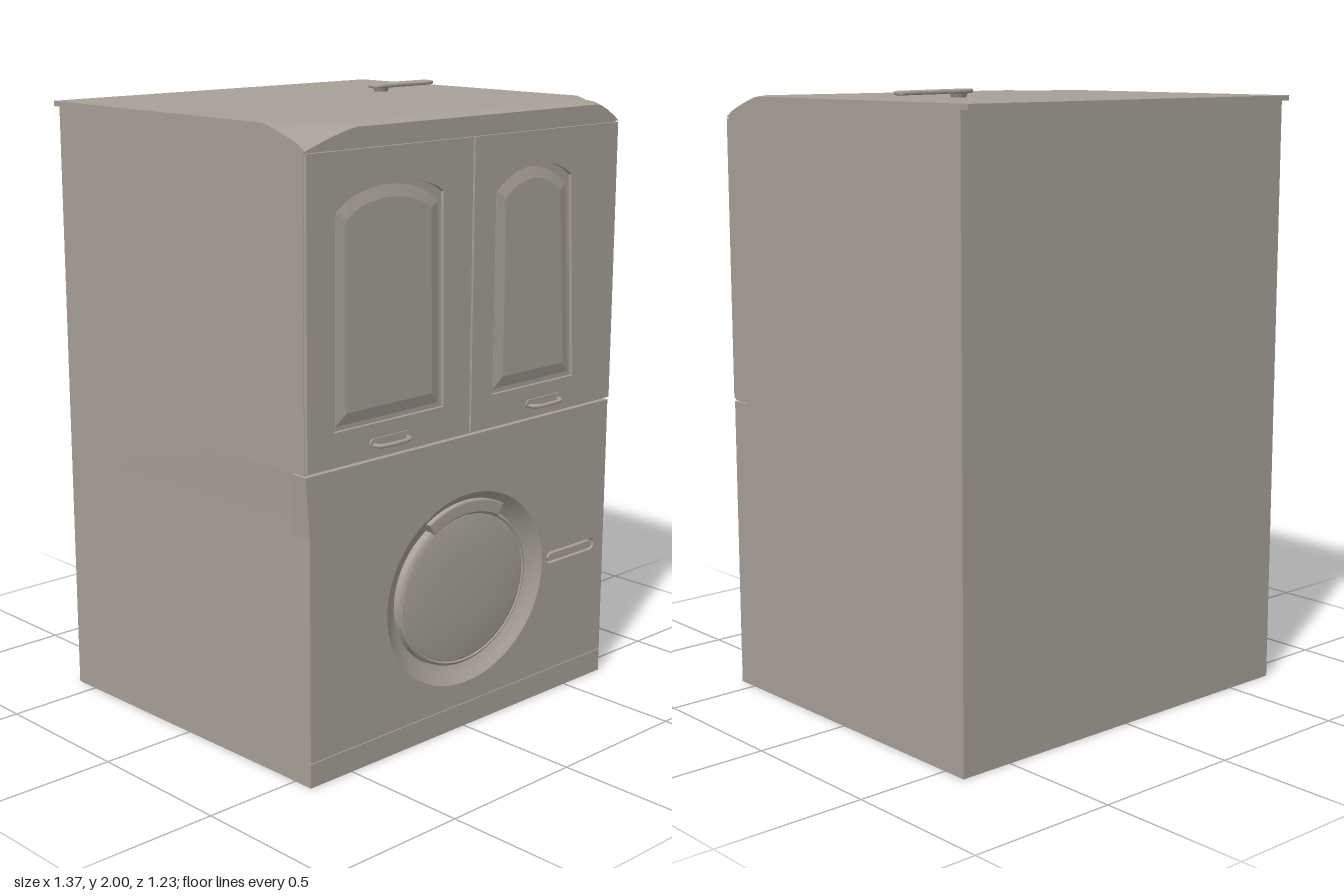
import * as THREE from 'three';
import { toCreasedNormals } from 'three/addons/utils/BufferGeometryUtils.js';

export function createModel() {
  const model = new THREE.Group();
  const enamel = new THREE.MeshStandardMaterial({ color: 0xa8a098 });
  enamel.name = 'warm grey enamel';

  function add(name, geometry, x = 0, y = 0, z = 0, parent = model) {
    const mesh = new THREE.Mesh(geometry, enamel);
    mesh.name = name;
    mesh.position.set(x, y, z);
    parent.add(mesh);
    return mesh;
  }
  // box given by its limits
  function block(name, x0, x1, y0, y1, z0, z1, parent) {
    return add(name, new THREE.BoxGeometry(x1 - x0, y1 - y0, z1 - z0),
      (x0 + x1) / 2, (y0 + y1) / 2, (z0 + z1) / 2, parent);
  }
  const outline = (pts) => new THREE.Shape(pts.map(([x, y]) => new THREE.Vector2(x, y)));
  const slab = (shape, depth) =>
    new THREE.ExtrudeGeometry(shape, { depth, bevelEnabled: false, curveSegments: 64 });
  function pill(x0, x1, y0, y1) {
    const r = (y1 - y0) / 2, y = (y0 + y1) / 2, s = new THREE.Shape();
    s.moveTo(x0 + r, y0);
    s.lineTo(x1 - r, y0);
    s.absarc(x1 - r, y, r, -Math.PI / 2, Math.PI / 2);
    s.lineTo(x0 + r, y1);
    s.absarc(x0 + r, y, r, Math.PI / 2, Math.PI * 1.5);
    return s;
  }

  // lower carcass, pinched slightly at its front left edge
  const lower = new THREE.BoxGeometry(1.37, 0.975, 1.09, 1, 5, 1);
  lower.translate(0, 0.4875, -0.04);
  const lp = lower.attributes.position;
  for (let i = 0; i < lp.count; i++) {
    if (lp.getX(i) < 0 && lp.getZ(i) > 0 && lp.getY(i) < 0.9) lp.setX(i, -0.67);
  }
  add('lowerBody', toCreasedNormals(lower, 0.4));
  block('upperBody', -0.685, 0.685, 0.975, 1.91, -0.585, 0.563);

  // top cap whose front corners slope down
  const cap = new THREE.BoxGeometry(1.37, 0.07, 1.158, 48, 1, 40);
  cap.translate(0, 1.935, -0.006);
  const cp = cap.attributes.position;
  for (let i = 0; i < cp.count; i++) {
    const x = cp.getX(i), z = cp.getZ(i);
    if (cp.getY(i) < 1.95) continue;
    const reach = x < 0 ? 0.2 : 0.1;
    const side = Math.max(0, 1 - (0.685 - Math.abs(x)) / reach);
    const front = Math.max(0, 1 - (0.573 - z) / 0.17);
    const edge = Math.max(0, 1 - (0.573 - z) / 0.06);
    cp.setY(i, 1.97 - 0.055 * Math.pow(side, 1.3) * front - 0.012 * edge * edge);
  }
  add('topCap', toCreasedNormals(cap, 0.6));
  block('rearLip', -0.685, 0.685, 1.953, 1.97, -0.615, -0.58);

  // upper doors with arched raised panels
  function arch(x0, x1, y0, ySide, yTop, lean) {
    const s = new THREE.Shape();
    s.moveTo(x0, y0);
    s.lineTo(x1, y0);
    s.lineTo(x1 - lean, ySide);
    s.bezierCurveTo(x1 - lean - 0.08, yTop, x0 + 0.08, yTop, x0, ySide);
    s.closePath();
    return s;
  }
  function door(name, x0, x1, p0, p1, lean, handleX) {
    const group = new THREE.Group();
    group.name = name;
    model.add(group);
    const frame = outline([[x0, 0.98], [x1, 0.98], [x1, 1.896], [x0, 1.896]]);
    frame.holes.push(arch(p0, p1, 1.085, 1.745, 1.815, lean));
    add('doorFrame', slab(frame, 0.013), 0, 0, 0.562, group);
    const panel = new THREE.ExtrudeGeometry(arch(p0 + 0.05, p1 - 0.05, 1.135, 1.70, 1.765, lean), {
      depth: 0.001, bevelEnabled: true, bevelThickness: 0.009, bevelSize: 0.036,
      bevelSegments: 1, curveSegments: 24,
    });
    add('raisedPanel', panel, 0, 0, 0.5635, group);
    // bow handle on a slim backplate
    add('handlePlate', slab(pill(handleX - 0.085, handleX + 0.085, 1.012, 1.04), 0.006), 0, 0, 0.574, group);
    const bow = new THREE.CatmullRomCurve3([
      [-0.07, 0.575], [-0.066, 0.593], [-0.05, 0.603], [0.05, 0.603], [0.066, 0.593], [0.07, 0.575],
    ].map(([x, z]) => new THREE.Vector3(handleX + x, 1.02, z)));
    add('handleBow', new THREE.TubeGeometry(bow, 32, 0.007, 8), 0, 0, 0, group);
  }
  door('rightDoor', -0.683, -0.004, -0.577, -0.12, 0.012, -0.35);
  door('leftDoor', 0.004, 0.684, 0.1, 0.49, 0.035, 0.345);

  // lower front panel with porthole and slot openings
  const cx = 0.008, cy = 0.465, ratio = 0.875;
  const front = outline([[-0.67, 0.08], [0.685, 0.08], [0.685, 0.97], [-0.685, 0.97], [-0.67, 0.78]]);
  front.holes.push(new THREE.Path().absellipse(cx, cy, 0.36, 0.36 * ratio, 0, Math.PI * 2));
  front.holes.push(pill(0.39, 0.635, 0.455, 0.497));
  add('lowerFront', slab(front, 0.07), 0, 0, 0.5);
  block('plinth', -0.67, 0.685, 0, 0.077, 0.49, 0.57);
  block('plinthSeam', -0.669, 0.684, 0.07, 0.09, 0.49, 0.566);
  add('slotFloor', slab(pill(0.385, 0.64, 0.45, 0.502), 0.055), 0, 0, 0.5);
  add('slotBar', slab(pill(0.4, 0.625, 0.464, 0.488), 0.017), 0, 0, 0.553);

  // sunken porthole surround and domed door
  const profile = [
    [0.36, 0], [0.345, -0.01], [0.31, -0.035], [0.292, -0.04], [0.29, -0.018],
    [0.28, -0.012], [0.275, -0.016], [0.265, -0.014], [0.13, -0.008], [0, -0.007],
  ].map(([r, y]) => new THREE.Vector2(r, y));
  const bowl = new THREE.LatheGeometry(profile, 64);
  bowl.rotateX(Math.PI / 2);
  bowl.scale(1, ratio, 1);
  add('porthole', toCreasedNormals(bowl, 0.7), cx, cy, 0.57);

  // curved grip along the top of the porthole
  const grip = new THREE.Shape();
  grip.absellipse(cx, cy, 0.325, 0.325 * ratio, Math.PI * 0.33, Math.PI * 0.67);
  grip.absellipse(cx, cy, 0.285, 0.285 * ratio, Math.PI * 0.67, Math.PI * 0.33, true);
  add('portholeGrip', new THREE.ExtrudeGeometry(grip, {
    depth: 0.025, bevelEnabled: true, bevelThickness: 0.005, bevelSize: 0.005,
    bevelSegments: 2, curveSegments: 20,
  }), 0, 0, 0.535);

  // loose lever floating over the top on a short stem
  const lever = new THREE.Shape();
  lever.moveTo(0.275, 0.165);
  lever.splineThru([[0.31, 0.188], [0.43, 0.2], [0.56, 0.21], [0.59, 0.2], [0.582, 0.16],
    [0.54, 0.14], [0.42, 0.13], [0.3, 0.12], [0.273, 0.135], [0.275, 0.165]]
    .map(([x, y]) => new THREE.Vector2(x, y)));
  const leverGeo = new THREE.ExtrudeGeometry(lever, {
    depth: 0.004, bevelEnabled: true, bevelThickness: 0.004, bevelSize: 0.004,
    bevelOffset: -0.004, bevelSegments: 2, curveSegments: 6,
  });
  leverGeo.rotateX(-Math.PI / 2);
  const top = add('topLever', leverGeo, 0, 1.992, 0);
  top.rotation.z = -0.008;
  add('leverStem', new THREE.CylinderGeometry(0.03, 0.022, 0.018, 20), 0.325, 1.981, -0.155);

  return model;
}
